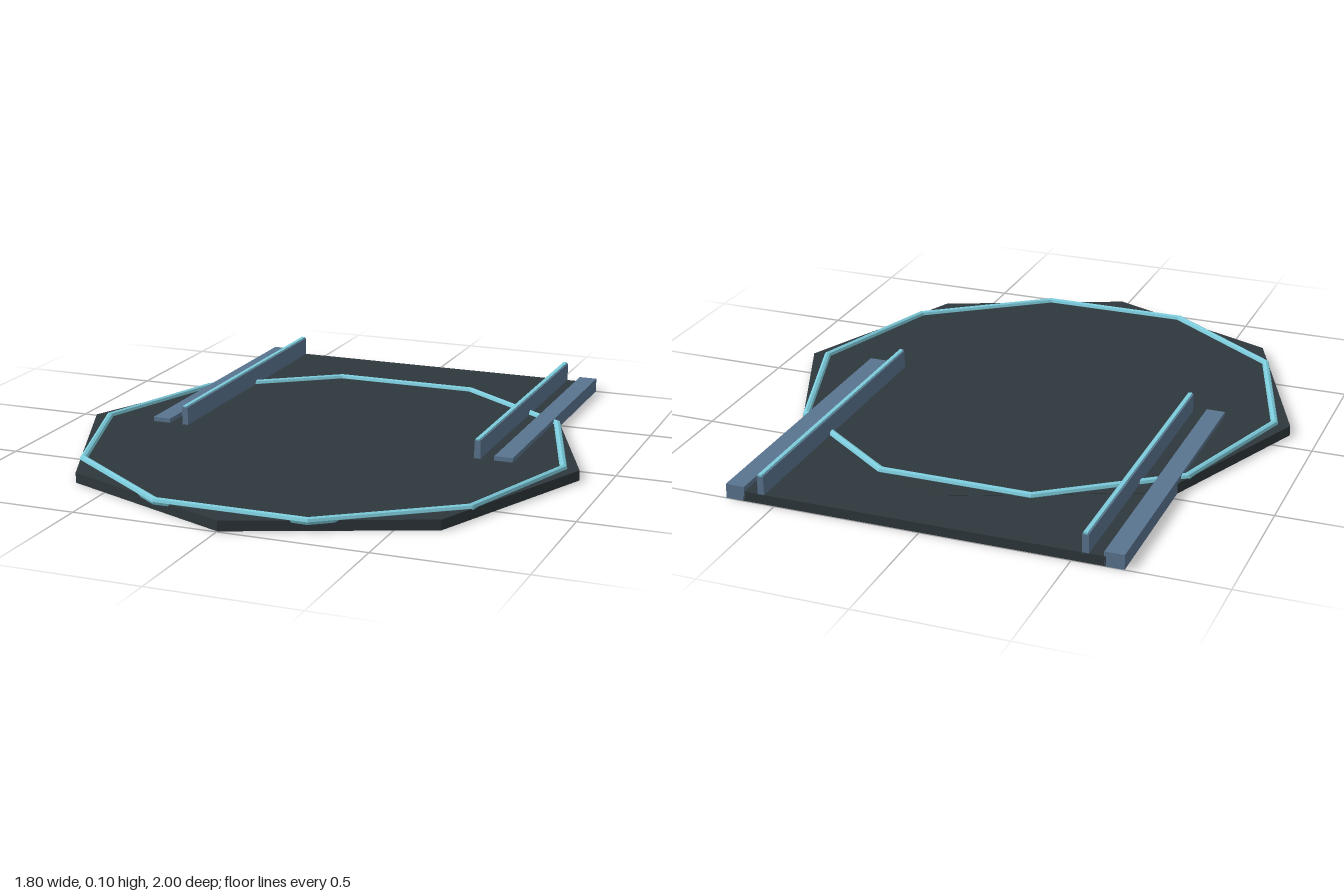
import * as THREE from 'three';

export function createModel() {
  const root = new THREE.Group();
  root.name = 'landingPlatform';

  const material = (name, color) =>
    Object.assign(new THREE.MeshStandardMaterial({ color, flatShading: true }), { name });
  const darkDeck = material('dark deck', 0x2e373c);
  const blueSteel = material('blue steel', 0x5a7490);
  const cyanGlow = material('cyan trim', 0x7ccbdb);

  const add = (name, geometry, mat, x, y, z) => {
    const mesh = new THREE.Mesh(geometry, mat);
    mesh.name = name;
    mesh.position.set(x, y, z);
    root.add(mesh);
    return mesh;
  };

  const padZ = 0.095;             // centre of the pad and front end of the walkway
  const length = 1 + padZ;        // walkway runs back to z = -1
  const midZ = (padZ - 1) / 2;

  // Octagonal pad with a corner pointing forward
  add('pad', new THREE.CylinderGeometry(0.9, 0.9, 0.035, 8), darkDeck, 0, 0.0175, padZ);

  // Ten-sided trim ring half sunk into the pad
  const ring = add('trimRing', new THREE.TorusGeometry(0.845, 0.013, 8, 10), cyanGlow, 0, 0.036, padZ);
  ring.rotation.x = -Math.PI / 2;

  // Walkway slab, a hair inside the pad's top and bottom
  add('walkway', new THREE.BoxGeometry(1.22, 0.033, length), darkDeck, 0, 0.0175, midZ);

  // Kerbs, guard rails and lit rail caps on both sides
  for (const [side, s] of [['left', 1], ['right', -1]]) {
    add(side + 'Kerb', new THREE.BoxGeometry(0.065, 0.05, length), blueSteel, s * 0.637, 0.0255, midZ);
    add(side + 'Rail', new THREE.BoxGeometry(0.022, 0.068, length), blueSteel, s * 0.545, 0.065, midZ);
    add(side + 'RailCap', new THREE.BoxGeometry(0.014, 0.007, length), cyanGlow, s * 0.545, 0.1005, midZ);
  }
  return root;
}
